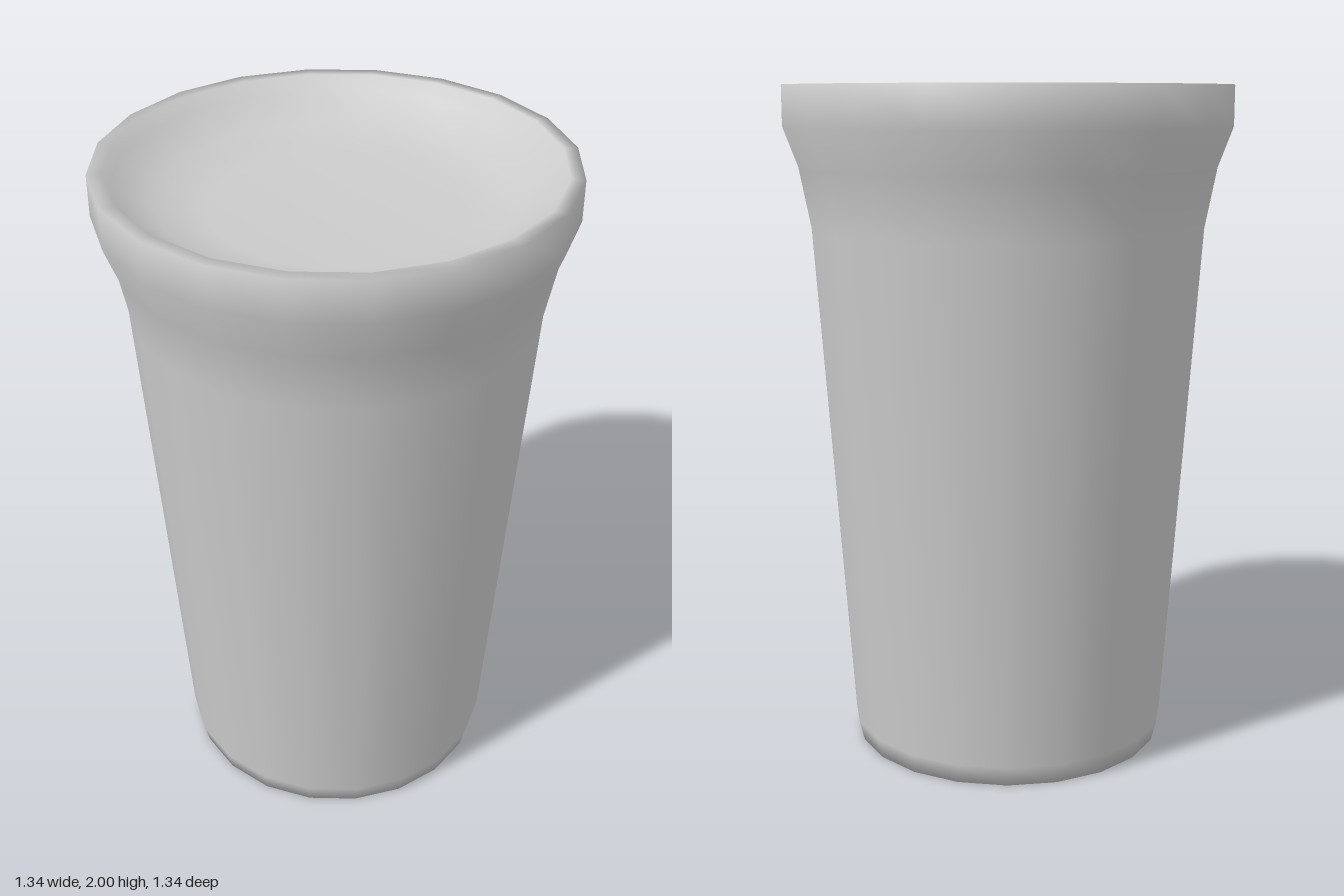
import * as THREE from 'three';

export function createModel() {
  const group = new THREE.Group();
  group.name = 'cup';
  const material = new THREE.MeshStandardMaterial({ color: 0xcccccc });

  // One smooth profile: flat base, tapered wall, flared rim, shallow dished top
  const profile = [
    [0, 0], [0.47, 0], [0.485, 0.06],
    [0.59, 1.58], [0.625, 1.76],
    [0.67, 1.88], [0.67, 2], [0.63, 2],
    [0.61, 1.96], [0.5, 1.9], [0.36, 1.87], [0, 1.87],
  ].map(([r, y]) => new THREE.Vector2(r, y));

  const body = new THREE.Mesh(new THREE.LatheGeometry(profile, 20), material);
  body.name = 'cupBody';
  group.add(body);
  return group;
}
